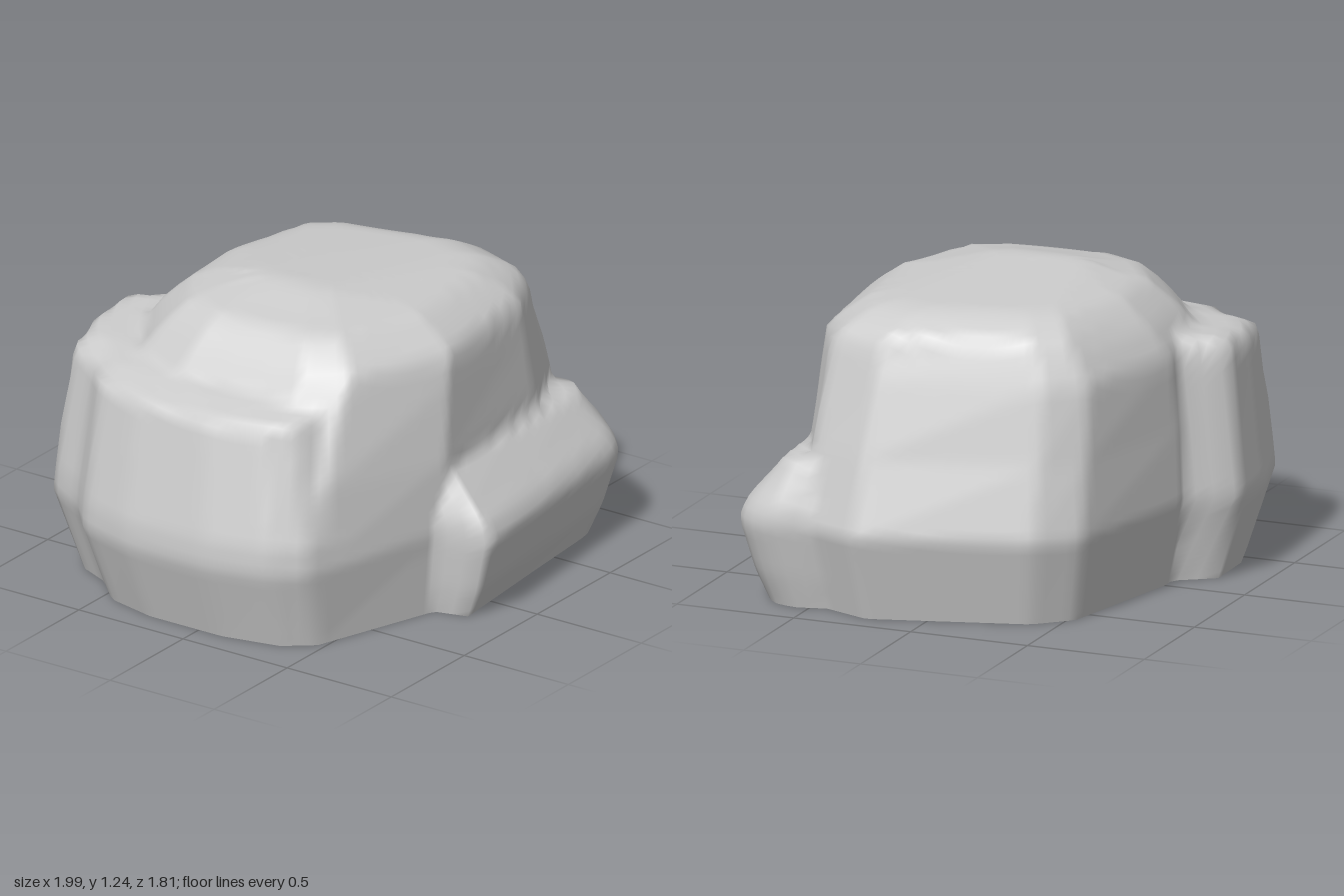
import * as THREE from 'three';

const material = new THREE.MeshStandardMaterial({
  color: 0xcccccc, roughness: 0.9, side: THREE.DoubleSide,
});

// Stone mass: one outline (from +x towards +z), refitted at each level
// [y, xMin, xMax, zMin, zMax]; tilt makes it rise towards +x.
function stone(outline, levels, tilt = 0) {
  const n = outline.length;
  const xs = outline.map(p => p[0]), zs = outline.map(p => p[1]);
  const ax = Math.min(...xs), bx = Math.max(...xs);
  const az = Math.min(...zs), bz = Math.max(...zs);
  const positions = [], index = [];
  const add = (x, y, z) => positions.push(x, y * (1 + tilt * (x + 0.5)), z);
  for (const [y, x0, x1, z0, z1] of levels) {
    for (const [x, z] of outline) {
      add(x0 + (x1 - x0) * (x - ax) / (bx - ax), y,
        z0 + (z1 - z0) * (z - az) / (bz - az));
    }
  }
  for (let k = 0; k < levels.length - 1; k++) {
    for (let i = 0; i < n; i++) {
      const a = k * n + i, b = k * n + (i + 1) % n;
      index.push(a, a + n, b, b, a + n, b + n);
    }
  }
  // Crown
  const [y, x0, x1, z0, z1] = levels[levels.length - 1];
  const top = (levels.length - 1) * n, crown = levels.length * n;
  add((x0 + x1) / 2, y + 0.005, (z0 + z1) / 2);
  for (let i = 0; i < n; i++) index.push(top + i, crown, top + (i + 1) % n);
  const geometry = new THREE.BufferGeometry();
  geometry.setAttribute('position', new THREE.Float32BufferAttribute(positions, 3));
  geometry.setIndex(index);
  return new THREE.Mesh(geometry, material);
}

// One open-bottomed skin over all masses: the farthest surface along each ray from the base centre
function skin(masses, around, rise) {
  const lift = 0.002;
  const origin = new THREE.Vector3(0, lift, 0);
  const caster = new THREE.Raycaster();
  const positions = [], index = [];
  const sample = (turn, tip) => {
    const direction = new THREE.Vector3(
      Math.cos(tip) * Math.cos(turn), Math.sin(tip), Math.cos(tip) * Math.sin(turn));
    caster.set(origin, direction);
    const p = caster.intersectObjects(masses).pop().point;
    positions.push(p.x, p.y - lift, p.z);
  };
  for (let k = 0; k < rise; k++) {
    for (let i = 0; i < around; i++) {
      sample(i / around * Math.PI * 2, k / rise * Math.PI / 2);
      const j = (i + 1) % around;
      const a = k * around + i, b = k * around + j;
      if (k < rise - 1) index.push(a, a + around, b, b, a + around, b + around);
      else index.push(a, rise * around, b);
    }
  }
  sample(0, Math.PI / 2);
  const geometry = new THREE.BufferGeometry();
  geometry.setAttribute('position', new THREE.Float32BufferAttribute(positions, 3));
  geometry.setIndex(index);
  geometry.computeVertexNormals();
  return new THREE.Mesh(geometry, material);
}

export function createModel() {
  // Main mass, leaning in towards a broad top that falls gently to +x
  const mainRock = stone([
    [1, 0.24], [0.9, 0.5], [0.6, 0.62], [-0.2, 0.69], [-0.8, 0.49], [-0.92, 0.3],
    [-0.96, -0.28], [-0.86, -0.52], [-0.5, -0.7], [0, -0.73], [0.66, -0.59], [0.8, -0.44],
  ], [
    [0, -0.88, 0.9, -0.66, 0.65],
    [0.35, -0.96, 1, -0.73, 0.7],
    [0.65, -0.86, 0.9, -0.72, 0.69],
    [0.95, -0.7, 0.8, -0.7, 0.66],
    [1.06, -0.62, 0.76, -0.63, 0.645],
    [1.12, -0.57, 0.735, -0.57, 0.57],
    [1.18, -0.5, 0.62, -0.5, 0.48],
    [1.2, -0.4, 0.54, -0.43, 0.38],
    [1.238, -0.23, -0.1, -0.26, 0.14],
  ]);

  // Lower shoulder wrapping the rear and the right-hand side
  const shoulder = stone([
    [-0.02, -0.6], [-0.22, 0.69], [-0.84, 0.49], [-0.94, 0.36], [-1, 0.1], [-1, -0.28],
    [-0.94, -0.52], [-0.79, -0.66], [-0.71, -0.83], [-0.45, -0.905], [-0.17, -0.91], [-0.02, -0.7],
  ], [
    [0, -0.89, -0.05, -0.81, 0.65],
    [0.34, -1, -0.02, -0.91, 0.69],
    [0.45, -0.995, -0.02, -0.9, 0.68],
    [0.93, -0.88, -0.04, -0.86, 0.54],
    [0.97, -0.72, -0.1, -0.82, 0.4],
  ], 0.07);

  // Ledge along the foot of the front
  const ledge = stone([
    [0.95, 0.62], [0.92, 0.74], [0.84, 0.805], [0.3, 0.855], [-0.19, 0.905],
    [-0.24, 0.7], [-0.24, 0.4], [0.3, 0.4], [0.9, 0.42],
  ], [
    [0, -0.22, 0.86, 0.38, 0.79],
    [0.13, -0.23, 0.9, 0.39, 0.85],
    [0.34, -0.24, 0.95, 0.4, 0.91],
    [0.41, -0.24, 0.94, 0.4, 0.88],
    [0.48, -0.23, 0.91, 0.4, 0.81],
    [0.6, -0.2, 0.86, 0.4, 0.69],
  ]);

  const model = new THREE.Group();
  model.name = 'boulder';
  const shell = skin([mainRock, shoulder, ledge], 144, 48);
  shell.name = 'boulderShell';
  model.add(shell);
  return model;
}
